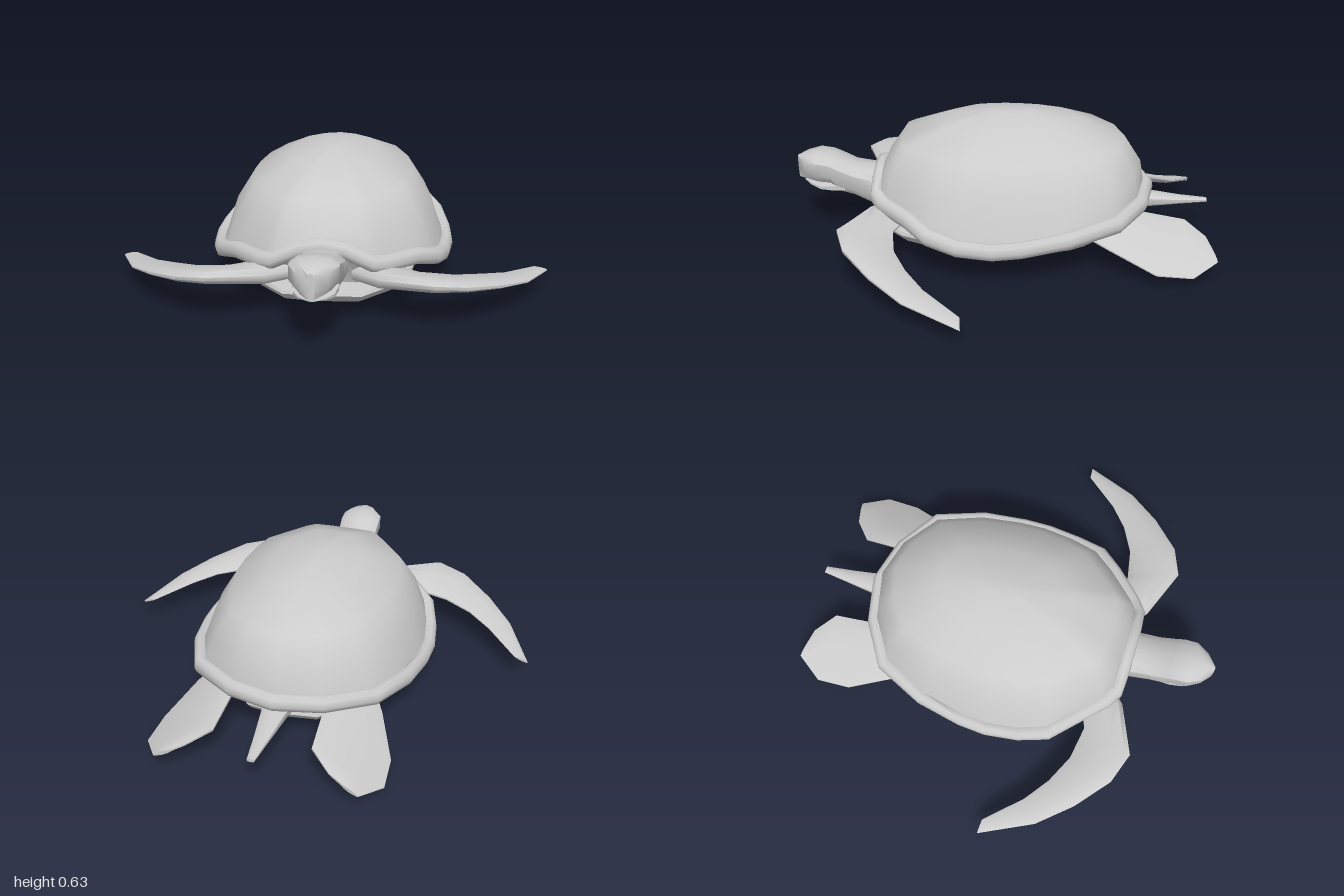
import * as THREE from 'three';
import { toCreasedNormals } from 'three/addons/utils/BufferGeometryUtils.js';

const material = new THREE.MeshStandardMaterial({ color: 0xcccccc });
const MID_Z = -0.05;

// Skins a list of equal-length rings; ends are capped unless the rings form a loop.
function loft(name, rings, { loop = false, crease = 0.9 } = {}) {
  const n = rings[0].length, count = rings.length;
  const pos = rings.flat(2), index = [];
  for (let r = 0; r < (loop ? count : count - 1); r++) {
    for (let i = 0; i < n; i++) {
      const j = (i + 1) % n, s = ((r + 1) % count) * n;
      const a = r * n + i, b = r * n + j, c = s + j, d = s + i;
      index.push(a, b, c, a, c, d);
    }
  }
  if (!loop) {
    for (const r of [0, count - 1]) {
      const c = [0, 1, 2].map(k => rings[r].reduce((sum, p) => sum + p[k] / n, 0));
      const ci = pos.push(...c) / 3 - 1;
      for (let i = 0; i < n; i++) {
        const a = r * n + i, b = r * n + (i + 1) % n;
        if (r === 0) index.push(ci, b, a); else index.push(ci, a, b);
      }
    }
  }
  // Turn the faces outward by checking the sign of the enclosed volume
  const v = i => new THREE.Vector3().fromArray(pos, i * 3);
  let volume = 0;
  for (let i = 0; i < index.length; i += 3) {
    volume += v(index[i]).dot(v(index[i + 1]).cross(v(index[i + 2])));
  }
  if (volume < 0) index.reverse();
  const geo = new THREE.BufferGeometry();
  geo.setAttribute('position', new THREE.Float32BufferAttribute(pos, 3));
  geo.setIndex(index);
  const mesh = new THREE.Mesh(toCreasedNormals(geo, crease), material);
  mesh.name = name;
  return mesh;
}

// Completes a half outline that starts and ends on x = 0
const mirrorOutline = half =>
  [...half, ...half.slice(1, -1).reverse().map(([x, y, z]) => [-x, y, z])];

// Outline scaled about the shell's middle, with a new height
const scaled = (outline, sx, sz, height) => outline.map(([x, y, z]) =>
  [x * sx, height(y), MID_Z + (z - MID_Z) * sz]);

// Flat fin: each section is [leading point, trailing point, half thickness]
function fin(name, side, sections) {
  const chord = [[0, 0.25], [0.12, 0.85], [0.45, 1], [0.85, 0.6], [1, 0.15],
    [1, -0.15], [0.85, -0.6], [0.45, -1], [0.12, -0.85], [0, -0.25]];
  return loft(name, sections.map(([a, b, t]) => chord.map(([f, h]) => [
    side * (a[0] + (b[0] - a[0]) * f),
    a[1] + (b[1] - a[1]) * f + h * t,
    a[2] + (b[2] - a[2]) * f,
  ])));
}

// Tube with rounded-box sections along z: [z, bottom, top, half width]
function bodyAlongZ(name, sections, crease) {
  const corner = [[1, -0.45], [1, 0.5], [0.65, 0.9], [0, 1],
    [-0.65, 0.9], [-1, 0.5], [-1, -0.45], [-0.7, -1], [0.7, -1]];
  return loft(name, sections.map(([z, low, high, w]) => corner.map(([cx, cy]) =>
    [cx * w, (low + high) / 2 + cy * (high - low) / 2, z])), { crease });
}

export function createModel() {
  const turtle = new THREE.Group();
  turtle.name = 'seaTurtle';

  // Edge of the upper shell, wavy in height
  const edge = mirrorOutline([
    [0, 0.335, 0.605], [0.1, 0.32, 0.605], [0.22, 0.265, 0.6], [0.28, 0.25, 0.56],
    [0.41, 0.24, 0.43], [0.505, 0.205, 0.33], [0.545, 0.172, 0.19], [0.565, 0.165, 0.03],
    [0.558, 0.175, -0.1], [0.52, 0.203, -0.31], [0.42, 0.237, -0.54],
    [0.215, 0.242, -0.67], [0, 0.245, -0.72],
  ]);

  // Upper shell dome
  turtle.add(loft('upperShell', [
    scaled(edge, 0.91, 0.93, y => y + 0.03),
    scaled(edge, 0.81, 0.9, y => 0.38 + (y - 0.24) * 0.2),
    scaled(edge, 0.655, 0.78, () => 0.505),
    scaled(edge, 0.35, 0.46, () => 0.588),
    scaled(edge, 0.08, 0.15, () => 0.628),
  ], { crease: 1.2 }));

  // Raised rim around the dome
  const rimProfile = [[0.91, 0.035], [0.96, 0.045], [0.99, 0.03], [1, 0],
    [0.985, -0.025], [0.95, -0.035], [0.91, -0.02]];
  turtle.add(loft('shellRim',
    rimProfile.map(([s, dy]) => scaled(edge, s, s, y => y + dy)), { loop: true, crease: 1.2 }));

  // Body between the two shells
  turtle.add(loft('underBody', [
    scaled(edge, 0.92, 0.93, y => y),
    scaled(edge, 0.75, 0.85, y => 0.17 + (y - 0.165) * 0.4),
    scaled(edge, 0.62, 0.8, () => 0.12),
  ]));

  // Belly shell
  const belly = mirrorOutline([
    [0, 0, 0.59], [0.17, 0, 0.58], [0.3, 0, 0.45], [0.38, 0, 0.27], [0.405, 0, 0.08],
    [0.39, 0, -0.15], [0.33, 0, -0.4], [0.16, 0, -0.58], [0, 0, -0.6],
  ]);
  turtle.add(loft('bellyShell', [
    [0.9, 0.14], [0.99, 0.135], [1, 0.12], [0.95, 0.085], [0.77, 0.028], [0.35, 0.008], [0.05, 0],
  ].map(([s, h]) => scaled(belly, s, s, () => h)), { crease: 0.7 }));

  // Neck and head, with an open lower jaw
  turtle.add(bodyAlongZ('neckAndHead', [
    [0.38, 0.14, 0.32, 0.11], [0.6, 0.165, 0.34, 0.1], [0.7, 0.215, 0.355, 0.098],
    [0.77, 0.235, 0.39, 0.1], [0.81, 0.275, 0.405, 0.102], [0.87, 0.28, 0.415, 0.1],
    [0.93, 0.285, 0.405, 0.065], [0.972, 0.28, 0.39, 0.015],
  ], 0.8));
  turtle.add(bodyAlongZ('lowerJaw', [
    [0.74, 0.23, 0.285, 0.09], [0.8, 0.232, 0.275, 0.092], [0.86, 0.237, 0.268, 0.082],
    [0.91, 0.253, 0.268, 0.055], [0.945, 0.262, 0.27, 0.015],
  ], 0.8));

  // Tail
  turtle.add(bodyAlongZ('tail', [
    [-0.45, 0.14, 0.23, 0.09], [-0.7, 0.155, 0.215, 0.052],
    [-0.85, 0.163, 0.195, 0.032], [-0.982, 0.17, 0.185, 0.016],
  ], 0.8));

  // Flippers, mirrored left and right
  for (const [label, side] of [['left', 1], ['right', -1]]) {
    turtle.add(fin(label + 'FrontFlipper', side, [
      [[0.12, 0.19, 0.5], [0.15, 0.19, 0.36], 0.04],
      [[0.24, 0.205, 0.615], [0.26, 0.2, 0.42], 0.042],
      [[0.47, 0.23, 0.71], [0.4, 0.19, 0.475], 0.032],
      [[0.61, 0.21, 0.66], [0.55, 0.175, 0.45], 0.026],
      [[0.76, 0.17, 0.53], [0.68, 0.16, 0.385], 0.02],
      [[0.885, 0.13, 0.38], [0.79, 0.135, 0.3], 0.014],
      [[1, 0.085, 0.135], [0.935, 0.103, 0.14], 0.006],
    ]));
    turtle.add(fin(label + 'RearFlipper', side, [
      [[0.2, 0.215, -0.4], [0.36, 0.175, -0.36], 0.03],
      [[0.205, 0.21, -0.63], [0.43, 0.13, -0.49], 0.025],
      [[0.215, 0.175, -0.845], [0.515, 0.055, -0.69], 0.02],
      [[0.31, 0.14, -0.93], [0.522, 0.048, -0.85], 0.015],
      [[0.37, 0.11, -0.95], [0.44, 0.085, -0.967], 0.01],
    ]));
  }
  return turtle;
}
